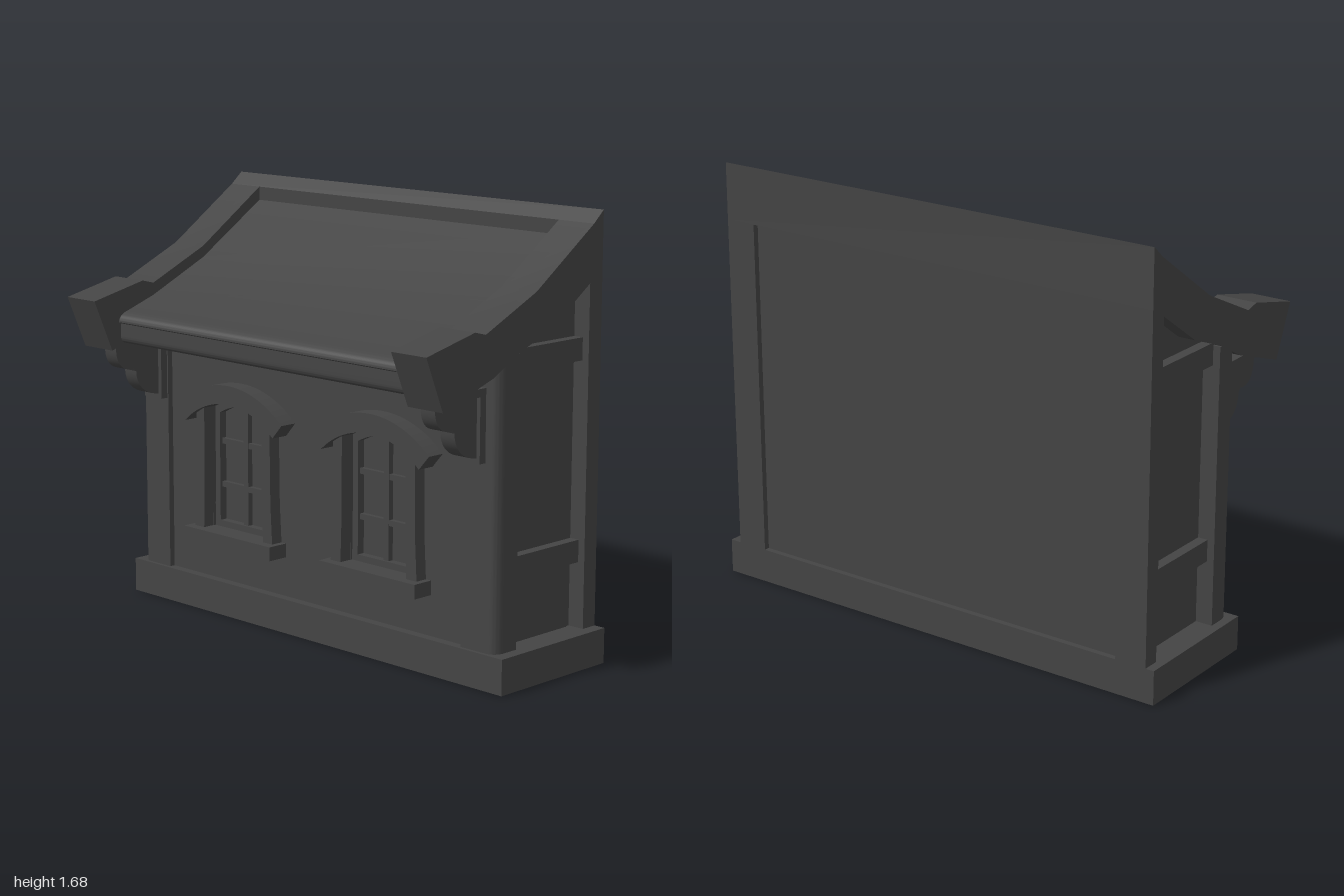
import * as THREE from 'three';
import { toCreasedNormals } from 'three/addons/utils/BufferGeometryUtils.js';

const material = new THREE.MeshStandardMaterial({ color: 0x444444 });

export function createModel() {
  const model = new THREE.Group();
  model.name = 'houseFacade';
  const house = new THREE.Group();
  house.name = 'house';
  house.position.x = -0.006;
  model.add(house);

  const add = (parent, name, geometry) => {
    const mesh = new THREE.Mesh(geometry, material);
    mesh.name = name;
    parent.add(mesh);
  };
  const poly = (pts) => new THREE.Shape(pts.map(([x, y]) => new THREE.Vector2(x, y)));
  const rect = (x0, x1, y0, y1) => poly([[x0, y0], [x1, y0], [x1, y1], [x0, y1]]);
  // extrusion with smooth curves and sharp corners
  const extrude = (shape, depth) => toCreasedNormals(
    new THREE.ExtrudeGeometry(shape, { depth, bevelEnabled: false, curveSegments: 12 }), 0.4);
  // box given by its limits
  const box = (x0, x1, y0, y1, z0, z1) =>
    new THREE.BoxGeometry(Math.abs(x1 - x0), y1 - y0, z1 - z0)
      .translate((x0 + x1) / 2, (y0 + y1) / 2, (z0 + z1) / 2);
  // front outline (x, y) with thickness from z0 to z1
  const frontal = (shape, z0, z1) => extrude(shape, z1 - z0).translate(0, 0, z0);
  // side outline (z, y) running between two x limits
  const sideways = (shape, xa, xb) =>
    extrude(shape, Math.abs(xb - xa)).rotateY(-Math.PI / 2).translate(Math.max(xa, xb), 0, 0);
  // plan outline (x, -z) rising from y0 to y1
  const upright = (shape, y0, y1) =>
    extrude(shape, y1 - y0).rotateX(-Math.PI / 2).translate(0, y0, 0);
  // window outline with a shallow arched head
  const arch = (half, bottom, side, top, cx = 0) => {
    const s = new THREE.Shape();
    s.moveTo(cx - half, bottom);
    s.lineTo(cx + half, bottom);
    s.lineTo(cx + half, side);
    s.quadraticCurveTo(cx, 2 * top - side, cx - half, side);
    s.closePath();
    return s;
  };

  // Plinth, hollow from below
  const plinth = rect(-1, 1, -0.11, 0.463);
  plinth.holes.push(rect(-0.89, 0.89, -0.025, 0.38));
  add(model, 'plinth', upright(plinth, 0, 0.135));
  add(model, 'plinthFloor', box(-0.95, 0.95, 0.055, 0.13, -0.42, 0.07));

  // Core: recessed side panels, back panel and window panes
  add(house, 'core', sideways(poly([
    [-0.44, 0.12], [0.03, 0.12], [0.03, 1.22], [-0.02, 1.245],
    [-0.19, 1.31], [-0.40, 1.48], [-0.44, 1.50],
  ]), -0.89, 0.89));

  // Front wall with two arched openings
  const windowX = [-0.386, 0.378];
  const wall = rect(-0.81, 0.81, 0.12, 1.18);
  windowX.forEach((x) => wall.holes.push(arch(0.167, 0.34, 0.83, 0.875, x)));
  add(house, 'frontWall', frontal(wall, 0.025, 0.072));

  // Windows
  windowX.forEach((x) => {
    const win = new THREE.Group();
    win.name = 'window';
    win.position.x = x;
    house.add(win);
    const sash = arch(0.17, 0.335, 0.83, 0.878);
    sash.holes.push(arch(0.138, 0.37, 0.805, 0.843));
    add(win, 'sash', frontal(sash, 0.02, 0.062));
    add(win, 'mullion', box(-0.013, 0.013, 0.36, 0.85, 0.02, 0.052));
    [0.515, 0.69].forEach((y) =>
      add(win, 'glazingBar', box(-0.145, 0.145, y - 0.011, y + 0.011, 0.02, 0.05)));
    add(win, 'sill', box(-0.247, 0.247, 0.29, 0.345, 0.05, 0.16));
    [-1, 1].forEach((s) => add(win, 'jamb', frontal(poly([
      [s * 0.222, 0.34], [s * 0.213, 0.5], [s * 0.209, 0.83],
      [s * 0.163, 0.85], [s * 0.165, 0.5], [s * 0.17, 0.34],
    ]), 0.04, 0.122)));
    // curved hood over the head
    const hood = new THREE.Shape();
    const a = 0.73;
    hood.absarc(0, 0.491, 0.449, Math.PI / 2 - a, Math.PI / 2 + a, false);
    hood.absarc(0, 0.491, 0.375, Math.PI / 2 + a, Math.PI / 2 - a, true);
    hood.closePath();
    add(win, 'hood', frontal(hood, 0.04, 0.145));
  });

  // Roof panel sunk between the barge boards, with a rolled eave over a fascia
  const roof = poly([[-0.42, 1.592], [-0.10, 1.38], [0.165, 1.255], [0.29, 1.21]]);
  roof.quadraticCurveTo(0.345, 1.195, 0.343, 1.165);
  roof.lineTo(0.335, 1.16);
  roof.lineTo(0.335, 1.11);
  roof.quadraticCurveTo(0.335, 1.085, 0.31, 1.08);
  [[0.12, 1.15], [-0.02, 1.215], [-0.19, 1.28], [-0.42, 1.43]]
    .forEach(([z, y]) => roof.lineTo(z, y));
  add(house, 'roofPanel', sideways(roof, -0.80, 0.80));
  add(house, 'ridgeBeam', sideways(poly([
    [-0.463, 1.463], [-0.41, 1.463], [-0.41, 1.639], [-0.40, 1.63], [-0.463, 1.685],
  ].filter((p, i) => i !== 3)), -0.959, 0.959));

  // Parts mirrored on both ends
  [-1, 1].forEach((s) => {
    const inner = s * 0.794, outer = s * 0.959;

    // barge board with its heavy eave block
    add(house, 'bargeBoard', sideways(poly([
      [-0.41, 1.639], [-0.10, 1.425], [0.165, 1.303], [0.22, 1.317],
      [0.465, 1.26], [0.38, 1.057], [0.12, 1.145], [-0.02, 1.22], [-0.19, 1.285],
      [-0.395, 1.425], [-0.41, 1.425],
    ]), inner, outer));

    // front corner post with rounded outer corner
    const post = new THREE.Shape();
    post.moveTo(inner, 0.02);
    post.lineTo(outer, 0.02);
    post.lineTo(outer, -0.04);
    post.quadraticCurveTo(outer, -0.095, s * 0.91, -0.095);
    post.lineTo(inner, -0.095);
    post.closePath();
    add(house, 'frontPost', upright(post, 0.12, 1.215));
    add(house, 'rearPost', box(s * 0.83, outer, 0.12, 1.463, -0.463, -0.395));

    // side rails between the posts
    [[0.385, 0.47], [1.14, 1.225]].forEach(([y0, y1]) =>
      add(house, 'sideRail', box(s * 0.86, s * 0.93, y0, y1, -0.41, 0)));

    // scrolled eave bracket
    const scroll = new THREE.Shape();
    scroll.moveTo(0.11, 1.08);
    scroll.lineTo(0.34, 1.08);
    scroll.bezierCurveTo(0.35, 1.0, 0.31, 0.955, 0.25, 0.97);
    scroll.lineTo(0.24, 0.955);
    scroll.bezierCurveTo(0.24, 0.90, 0.20, 0.855, 0.125, 0.85);
    scroll.lineTo(0.11, 0.85);
    scroll.closePath();
    add(house, 'bracketScroll', sideways(scroll, s * 0.818, s * 0.886));
    add(house, 'bracketCap', box(s * 0.80, s * 0.902, 1.07, 1.10, 0.08, 0.345));
    add(house, 'bracketPlate', box(s * 0.80, s * 0.902, 0.83, 1.08, 0.08, 0.125));
  });

  return model;
}
